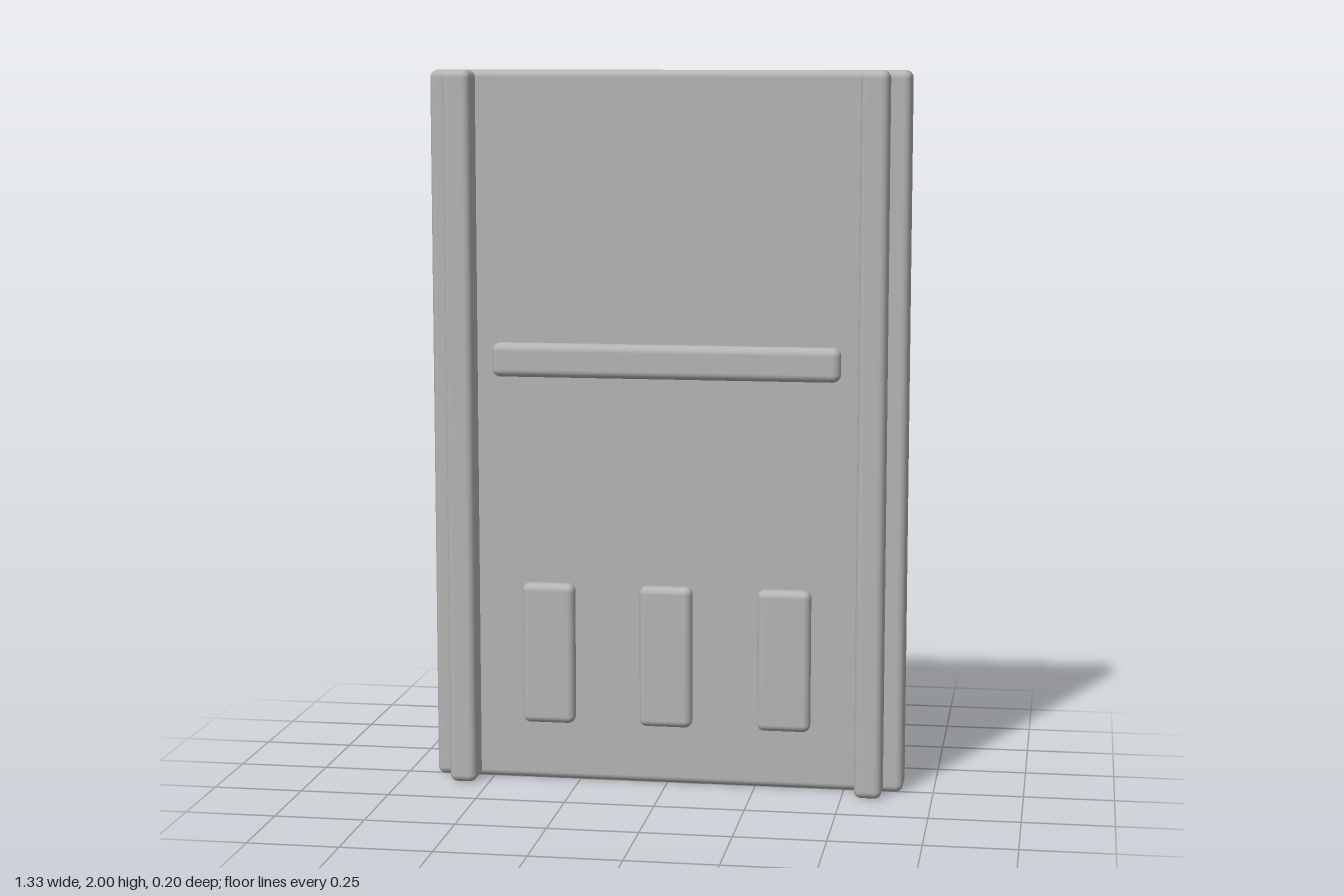
import * as THREE from 'three';
import { RoundedBoxGeometry } from 'three/addons/geometries/RoundedBoxGeometry.js';

export function createModel() {
  const model = new THREE.Group();
  model.name = 'panel';
  const grey = new THREE.MeshStandardMaterial({ color: 0xb4b4b4 });
  grey.name = 'plain grey';

  // Rounded block given by its extents on each axis
  const block = (name, [x0, x1], [y0, y1], [z0, z1], radius) => {
    const geometry = new RoundedBoxGeometry(x1 - x0, y1 - y0, z1 - z0, 4, radius);
    const mesh = new THREE.Mesh(geometry, grey);
    mesh.name = name;
    mesh.position.set((x0 + x1) / 2, (y0 + y1) / 2, (z0 + z1) / 2);
    model.add(mesh);
  };

  // Main slab
  block('slab', [-0.665, 0.665], [0, 2], [-0.098, 0.018], 0.02);

  // Full-height rails along both sides
  for (const [name, x] of [['leftRail', 0.573], ['rightRail', -0.573]]) {
    block(name, [x - 0.038, x + 0.038], [0, 2], [-0.005, 0.098], 0.02);
  }

  // Horizontal bar across the middle
  block('crossBar', [-0.485, 0.485], [1.155, 1.25], [0.016, 0.07], 0.022);

  // Three upright pads near the bottom
  [['leftPad', 0.333], ['middlePad', 0], ['rightPad', -0.333]].forEach(([name, x]) => {
    block(name, [x - 0.074, x + 0.074], [0.17, 0.57], [0.005, 0.055], 0.02);
  });

  return model;
}
